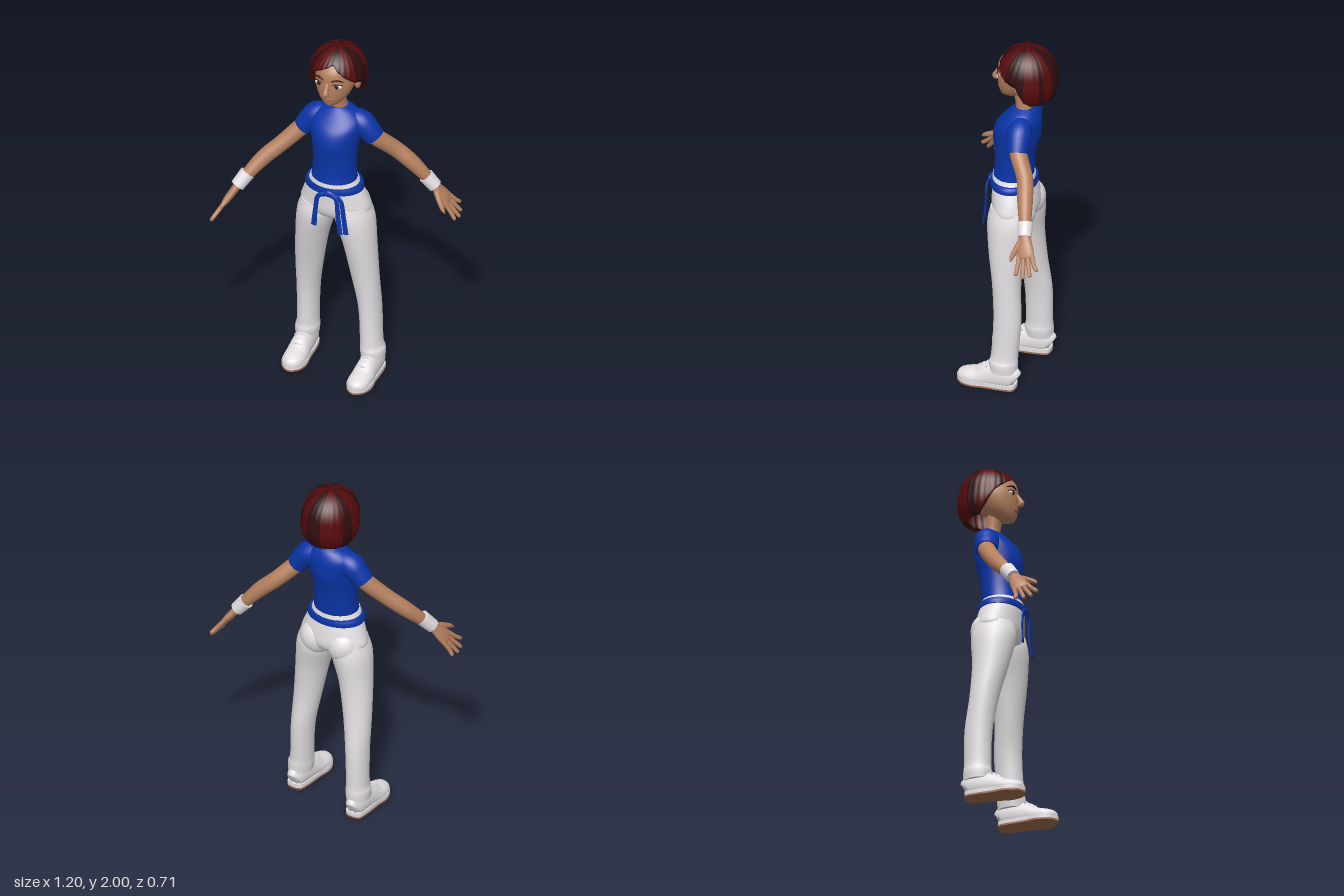
import * as THREE from 'three';

const mat = (name, color, side = THREE.FrontSide) => {
  const m = new THREE.MeshStandardMaterial({ color, side });
  m.name = name;
  return m;
};

// Closed tube through [x, y, z, radiusU, radiusV] sections; flat keeps the sections level
function limb(sections, { side = [1, 0, 0], flat = false, floor = -1, steps = 5, seg = 24 } = {}) {
  const path = new THREE.CatmullRomCurve3(sections.map(s => new THREE.Vector3(s[0], s[1], s[2])), false, 'catmullrom');
  const radii = new THREE.CatmullRomCurve3(sections.map(s => new THREE.Vector3(s[3], s[4] ?? s[3], 0)), false, 'catmullrom');
  const n = (sections.length - 1) * steps, pos = [], idx = [];
  const ring = t => {
    const c = path.getPoint(t), r = radii.getPoint(t);
    const d = flat ? new THREE.Vector3(0, 1, 0) : path.getTangent(t);
    const u = new THREE.Vector3(...side);
    u.addScaledVector(d, -u.dot(d)).normalize();
    const v = d.clone().cross(u);
    const start = pos.length / 3;
    for (let j = 0; j < seg; j++) {
      const a = j / seg * Math.PI * 2;
      const p = c.clone().addScaledVector(u, Math.cos(a) * Math.max(r.x, 0.001))
        .addScaledVector(v, Math.sin(a) * Math.max(r.y, 0.001));
      pos.push(p.x, Math.max(p.y, floor), p.z);
    }
    return { start, c };
  };
  for (let i = 0; i <= n; i++) {
    const { start: b } = ring(i / n);
    if (i) for (let j = 0; j < seg; j++) {
      const k = (j + 1) % seg, a = b - seg;
      idx.push(a + j, a + k, b + k, a + j, b + k, b + j);
    }
  }
  for (const end of [0, 1]) {
    const { start, c } = ring(end), mid = pos.length / 3;
    pos.push(c.x, Math.max(c.y, floor), c.z);
    for (let j = 0; j < seg; j++) {
      const k = (j + 1) % seg;
      end ? idx.push(start + j, start + k, mid) : idx.push(start + k, start + j, mid);
    }
  }
  const g = new THREE.BufferGeometry();
  g.setAttribute('position', new THREE.Float32BufferAttribute(pos, 3));
  g.setIndex(idx);
  g.computeVertexNormals();
  return g;
}

// Bob haircut: a shell whose lower edge follows a hairline given by angle (degrees from the front)
function hairGeometry() {
  const edge = [[-180, 1.70], [-100, 1.70], [-85, 1.74], [-62, 1.83], [-35, 1.885], [-5, 1.925], [12, 1.945],
    [35, 1.89], [60, 1.84], [85, 1.82], [100, 1.73], [115, 1.70], [180, 1.70]];
  const dark = [[0, 30], [62, 98], [160, 180], [-180, -166], [-122, -98], [-62, -44], [128, 138]];
  const hairline = a => {
    const i = Math.max(1, edge.findIndex(e => e[0] >= a));
    const [a0, y0] = edge[i - 1], [a1, y1] = edge[i];
    return THREE.MathUtils.lerp(y0, y1, (a - a0) / (a1 - a0));
  };
  const cols = 144, rows = 20, pos = [], lists = [[], []];
  for (let i = 0; i <= rows; i++) for (let j = 0; j < cols; j++) {
    const deg = -180 + j * 360 / cols, a = deg * Math.PI / 180;
    const s = Math.min(1, i / (rows - 1));
    let y = 2 - (2 - hairline(deg)) * s * s;
    let k = y > 1.84 ? Math.sqrt(Math.max(0, 1 - ((y - 1.84) / 0.16) ** 2))
      : 1 + 0.04 * Math.sin((1.84 - y) / 0.14 * Math.PI) - 0.16 * ((1.84 - y) / 0.14) ** 3;
    k *= 1 + 0.022 * s * Math.abs(Math.sin(a * 14 + 2 * s));
    if (i === rows) { k *= 0.8; y += 0.006; }
    pos.push(-0.031 + 0.15 * k * Math.sin(a), y, -0.094 + 0.163 * k * Math.cos(a));
    if (i < rows) {
      const n = (j + 1) % cols, p = i * cols, q = p + cols;
      const list = lists[dark.some(d => deg >= d[0] && deg < d[1]) ? 1 : 0];
      list.push(p + j, q + j, p + n, p + n, q + j, q + n);
    }
  }
  const g = new THREE.BufferGeometry();
  g.setAttribute('position', new THREE.Float32BufferAttribute(pos, 3));
  g.setIndex([...lists[0], ...lists[1]]);
  g.addGroup(0, lists[0].length, 0);
  g.addGroup(lists[0].length, lists[1].length, 1);
  g.computeVertexNormals();
  return g;
}

export function createModel() {
  const model = new THREE.Group();
  const skin = mat('skin', 0xb47f5e), blue = mat('blue cloth', 0x0a35a8), white = mat('white cloth', 0xe2dee1);
  const red = mat('red hair', 0x560a0c, THREE.DoubleSide), darkHair = mat('dark hair', 0x300d0e, THREE.DoubleSide);
  const sole = mat('sole', 0xa06a4c), eyeWhite = mat('eye white', 0xe8dcd2), iris = mat('iris', 0x3a1a12);
  const lip = mat('lips', 0x9c5848);
  const add = (name, geo, material, parent = model) => {
    const m = new THREE.Mesh(geo, material);
    m.name = name;
    parent.add(m);
    return m;
  };
  const blob = (name, c, r, material, parent) => {
    const m = add(name, new THREE.SphereGeometry(1, 24, 16), material, parent);
    m.position.set(...c);
    m.scale.set(...r);
    return m;
  };

  // Head and face
  const head = new THREE.Group();
  head.name = 'head';
  model.add(head);
  const fx = -0.027;
  add('face', limb([[fx, 1.687, 0.015, 0.02, 0.025], [fx, 1.705, -0.005, 0.05, 0.055], [fx, 1.74, -0.03, 0.082, 0.09],
    [fx, 1.79, -0.05, 0.104, 0.115], [fx, 1.84, -0.068, 0.112, 0.133], [fx, 1.9, -0.075, 0.105, 0.13],
    [fx, 1.95, -0.075, 0.07, 0.085], [fx, 1.97, -0.075, 0.015, 0.02]], { flat: true, seg: 32 }), skin, head);
  add('neck', limb([[-0.02, 1.58, -0.085, 0.06], [-0.02, 1.64, -0.08, 0.044], [-0.025, 1.74, -0.06, 0.045]], { flat: true }), skin, head);
  add('nose', limb([[fx, 1.84, 0.058, 0.009], [fx, 1.81, 0.076, 0.012], [fx, 1.787, 0.084, 0.017], [fx, 1.774, 0.07, 0.012]]), skin, head);
  blob('mouth', [fx, 1.742, 0.056], [0.029, 0.007, 0.009], lip, head);
  for (const s of [-1, 1]) {
    blob('ear', [fx + s * 0.113, 1.795, -0.085], [0.017, 0.036, 0.024], skin, head);
    blob('eye', [fx + s * 0.053, 1.83, 0.044], [0.025, 0.014, 0.013], eyeWhite, head);
    blob('iris', [fx + s * 0.051, 1.831, 0.054], [0.012, 0.013, 0.006], iris, head);
    add('eyelid', limb([[fx + s * 0.027, 1.837, 0.058, 0.003], [fx + s * 0.053, 1.846, 0.054, 0.003],
      [fx + s * 0.08, 1.835, 0.038, 0.003]], { side: [0, 1, 0], seg: 8 }), iris, head);
    add('eyebrow', limb([[fx + s * 0.022, 1.861, 0.062, 0.004], [fx + s * 0.052, 1.87, 0.053, 0.005],
      [fx + s * 0.083, 1.858, 0.032, 0.002]], { side: [0, 1, 0], seg: 8 }), darkHair, head);
  }
  add('hair', hairGeometry(), [red, darkHair], head);

  // Shirt
  add('shirt', limb([[-0.021, 1.205, -0.022, 0.127, 0.108], [-0.022, 1.27, -0.028, 0.121, 0.106], [-0.022, 1.36, -0.032, 0.122, 0.112],
    [-0.022, 1.45, -0.04, 0.132, 0.128], [-0.022, 1.52, -0.052, 0.142, 0.121], [-0.021, 1.57, -0.07, 0.138, 0.098],
    [-0.02, 1.61, -0.08, 0.095, 0.072], [-0.02, 1.632, -0.08, 0.052, 0.05]], { flat: true, seg: 36 }), blue);
  add('rightSleeve', limb([[-0.08, 1.56, -0.08, 0.055], [-0.145, 1.54, -0.07, 0.066], [-0.18, 1.5, -0.06, 0.063], [-0.215, 1.452, -0.05, 0.056]]), blue);
  add('leftSleeve', limb([[0.04, 1.56, -0.09, 0.055], [0.1, 1.54, -0.095, 0.066], [0.138, 1.5, -0.1, 0.063], [0.174, 1.452, -0.108, 0.056]]), blue);

  // Arms, wristbands and hands
  const V = a => new THREE.Vector3(...a);
  function arm(name, pts, bandEnds, wrist, tip, thumbSide) {
    const g = new THREE.Group();
    g.name = name;
    model.add(g);
    add('arm', limb(pts), skin, g);
    add('wristband', limb([0, 0.5, 1].map(t => [...V(bandEnds[0]).lerp(V(bandEnds[1]), t).toArray(), 0.042 - 0.004 * t])), white, g);
    const d = V(tip).sub(V(wrist)), len = d.length();
    d.normalize();
    const w = V(thumbSide);
    w.addScaledVector(d, -w.dot(d)).normalize();
    const at = (along, across) => V(wrist).addScaledVector(d, along * len).addScaledVector(w, across).toArray();
    const side = w.toArray();
    add('palm', limb([[...at(-0.12, 0), 0.028, 0.024], [...at(0.12, 0), 0.035, 0.022], [...at(0.35, 0), 0.046, 0.021],
      [...at(0.52, 0), 0.043, 0.016], [...at(0.57, 0), 0.03, 0.008]], { side }), skin, g);
    [0.86, 0.97, 1, 0.92].forEach((reach, i) => {
      const o = (i - 1.5) * 0.023;
      add('finger', limb([[...at(0.42, o), 0.012], [...at(0.7, o * 1.3), 0.012], [...at(reach - 0.03, o * 1.7), 0.01],
        [...at(reach, o * 1.75), 0.003]], { side, seg: 12 }), skin, g);
    });
    add('thumb', limb([[...at(0.12, 0.015), 0.018], [...at(0.32, 0.05), 0.016], [...at(0.5, 0.077), 0.012],
      [...at(0.6, 0.086), 0.004]], { side, seg: 12 }), skin, g);
  }
  arm('rightArm', [[-0.17, 1.51, -0.065, 0.045], [-0.225, 1.445, -0.045, 0.047], [-0.31, 1.355, 0.012, 0.044],
    [-0.4, 1.265, 0.078, 0.042], [-0.485, 1.15, 0.175, 0.029]],
  [[-0.455, 1.2, 0.14], [-0.494, 1.135, 0.187]], [-0.49, 1.14, 0.185], [-0.595, 0.955, 0.3], [0.3, 0.5, 0.75]);
  arm('leftArm', [[0.13, 1.51, -0.1, 0.045], [0.175, 1.45, -0.115, 0.047], [0.257, 1.36, -0.178, 0.044],
    [0.345, 1.275, -0.21, 0.042], [0.45, 1.15, -0.245, 0.029]],
  [[0.415, 1.19, -0.235], [0.464, 1.13, -0.248]], [0.455, 1.14, -0.245], [0.59, 0.95, -0.3], [0, -0.1, 1]);

  // Trousers
  add('hips', limb([[-0.018, 0.965, -0.04, 0.06, 0.07], [-0.018, 0.99, -0.04, 0.16, 0.105], [-0.02, 1.03, -0.04, 0.198, 0.122],
    [-0.02, 1.09, -0.035, 0.182, 0.122], [-0.022, 1.15, -0.028, 0.157, 0.118], [-0.022, 1.19, -0.024, 0.14, 0.114],
    [-0.022, 1.212, -0.023, 0.13, 0.111]], { flat: true, seg: 36 }), white);
  for (const s of [-1, 1]) blob('seat', [-0.02 + s * 0.085, 1.02, -0.085], [0.09, 0.1, 0.085], white);
  add('leftTrouserLeg', limb([[0.197, 0.1, -0.038, 0.064, 0.078], [0.194, 0.15, -0.038, 0.067, 0.079], [0.186, 0.2, -0.042, 0.06, 0.074],
    [0.173, 0.4, -0.052, 0.062, 0.076], [0.15, 0.6, -0.04, 0.076, 0.078], [0.124, 0.8, -0.033, 0.09, 0.1],
    [0.092, 0.96, -0.038, 0.106, 0.122], [0.08, 1.05, -0.038, 0.09, 0.11]], { flat: true }), white);
  add('rightTrouserLeg', limb([[-0.214, 0.1, -0.1, 0.062, 0.078], [-0.212, 0.15, -0.1, 0.065, 0.079], [-0.21, 0.2, -0.102, 0.058, 0.074],
    [-0.206, 0.4, -0.098, 0.062, 0.076], [-0.188, 0.6, -0.072, 0.077, 0.08], [-0.16, 0.8, -0.045, 0.09, 0.1],
    [-0.13, 0.96, -0.038, 0.106, 0.122], [-0.118, 1.05, -0.038, 0.09, 0.11]], { flat: true }), white);

  // Sash with a knot and hanging ends
  add('sash', limb([[-0.022, 1.153, -0.026, 0.164, 0.124], [-0.022, 1.172, -0.026, 0.162, 0.124], [-0.022, 1.19, -0.026, 0.152, 0.121]], { flat: true, seg: 36 }), blue);
  blob('sashKnot', [0, 1.165, 0.1], [0.03, 0.02, 0.014], blue);
  for (const pts of [
    [[-0.01, 1.165, 0.105, 0.012, 0.005], [-0.06, 1.14, 0.107, 0.013, 0.005], [-0.075, 1.06, 0.105, 0.013, 0.005], [-0.083, 0.95, 0.11, 0.016, 0.004]],
    [[0.0, 1.165, 0.105, 0.012, 0.005], [0.045, 1.14, 0.107, 0.013, 0.005], [0.055, 1.04, 0.105, 0.014, 0.005], [0.07, 0.93, 0.112, 0.015, 0.004]],
    [[0.01, 1.17, 0.102, 0.012, 0.005], [0.068, 1.14, 0.1, 0.013, 0.005], [0.085, 1.04, 0.1, 0.014, 0.005], [0.102, 0.935, 0.106, 0.015, 0.004]],
  ]) add('sashEnd', limb(pts, { seg: 12 }), blue);

  // Shoes
  function shoe(name, x, z, toeTurn) {
    const g = new THREE.Group();
    g.name = name;
    g.position.set(x, 0, z);
    g.rotation.y = toeTurn;
    model.add(g);
    const outline = new THREE.Shape();
    outline.setFromPoints(new THREE.SplineCurve([[0, -0.112], [0.042, -0.1], [0.055, -0.04], [0.06, 0.06], [0.068, 0.13], [0.05, 0.19],
      [0, 0.222], [-0.05, 0.19], [-0.068, 0.13], [-0.06, 0.06], [-0.055, -0.04], [-0.042, -0.1], [0, -0.112]]
      .map(p => new THREE.Vector2(...p))).getPoints(48));
    const slab = (label, y, h, m) => {
      const geo = new THREE.ExtrudeGeometry(outline, { depth: h, bevelEnabled: false });
      add(label, geo.rotateX(Math.PI / 2).translate(0, y + h, 0), m, g);
    };
    slab('outsole', 0, 0.01, sole);
    slab('midsole', 0.01, 0.022, white);
    add('upper', limb([[0, 0.05, -0.11, 0.025, 0.04], [0, 0.06, -0.09, 0.045, 0.07], [0, 0.065, -0.03, 0.053, 0.085], [0, 0.055, 0.04, 0.056, 0.08],
      [0, 0.04, 0.1, 0.062, 0.058], [0, 0.035, 0.16, 0.06, 0.045], [0, 0.03, 0.2, 0.042, 0.034], [0, 0.028, 0.217, 0.012, 0.014]], { floor: 0.025 }), white, g);
    for (let i = 0; i < 3; i++) {
      const y = 0.136 - i * 0.016, lz = 0.045 + i * 0.025;
      add('lace', limb([[-0.036, y - 0.014, lz, 0.005], [0, y + 0.002, lz + 0.004, 0.005], [0.036, y - 0.014, lz, 0.005]], { side: [0, 1, 0], seg: 8 }), white, g);
    }
  }
  shoe('leftShoe', 0.198, 0, -0.02);
  shoe('rightShoe', -0.212, -0.058, 0.02);
  return model;
}
